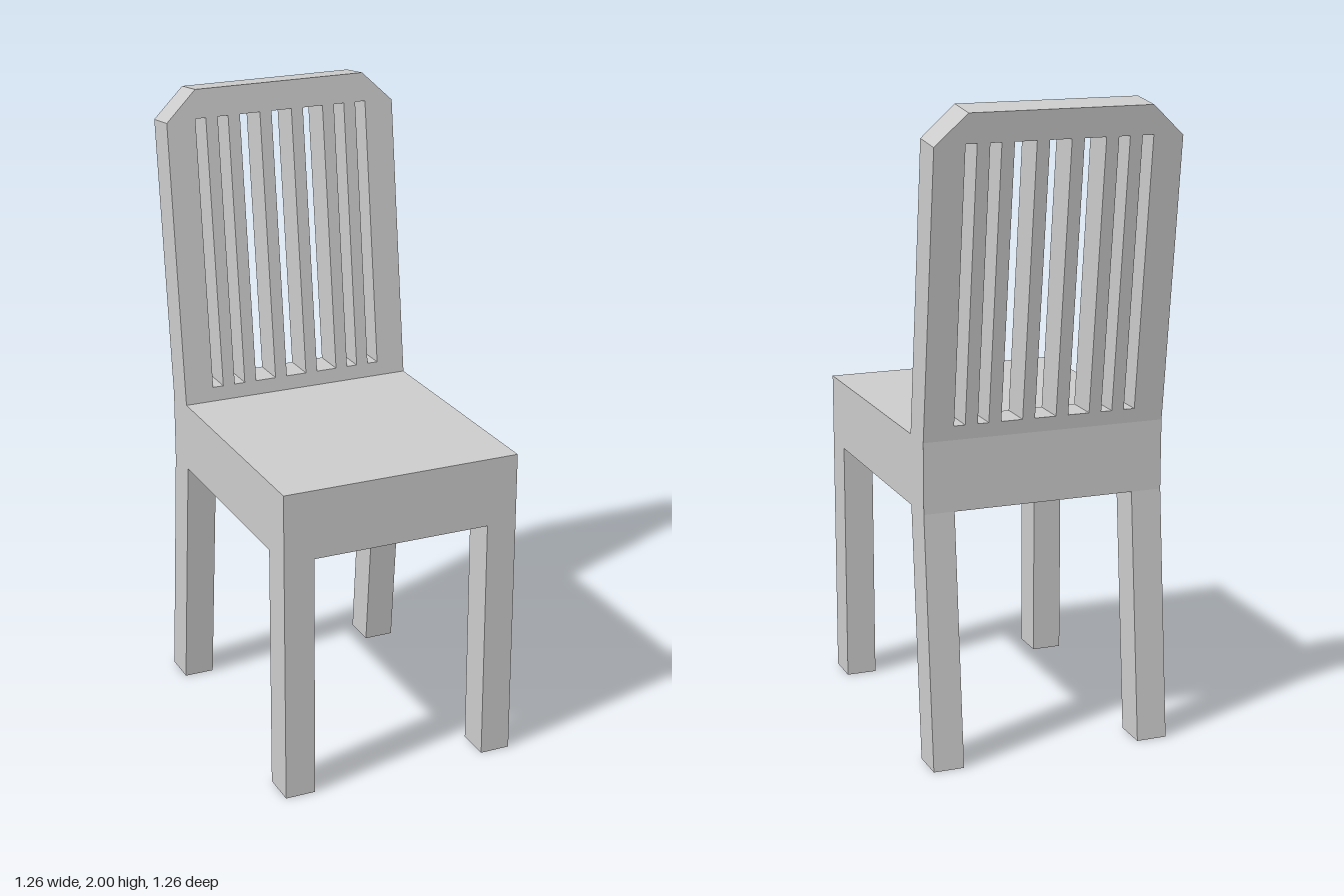
import * as THREE from 'three';

const HALF = 0.385;      // half width of the chair
const SEAT_LOW = 0.79, SEAT_TOP = 1.01;
const FRONT = 0.506, REAR = -0.4;
const BACK_FRONT = -0.286; // where the backrest meets the seat

const material = new THREE.MeshStandardMaterial({ color: 0xcccccc, flatShading: true });

function addMesh(group, name, geometry) {
  const mesh = new THREE.Mesh(geometry, material);
  mesh.name = name;
  group.add(mesh);
  return mesh;
}

// Leg whose foot can be shifted along z to splay it
function legGeometry(width, depth, footShift) {
  const g = new THREE.BoxGeometry(width, SEAT_LOW, depth).toNonIndexed();
  const p = g.attributes.position;
  for (let i = 0; i < p.count; i++) if (p.getY(i) < 0) p.setZ(i, p.getZ(i) + footShift);
  g.translate(0, SEAT_LOW / 2, 0);
  g.computeVertexNormals();
  return g;
}

// Chamfered panel with vertical slots, leaned backwards
function backrestGeometry() {
  const c = 0.1;
  const shape = new THREE.Shape([
    [-HALF, SEAT_TOP], [HALF, SEAT_TOP], [HALF, 1.905],
    [HALF - c, 2], [c - HALF, 2], [-HALF, 1.905],
  ].map(([x, y]) => new THREE.Vector2(x, y)));

  const narrow = 0.035, wide = 0.068, bar = 0.0395;
  let x = -(4 * narrow + 3 * wide + 6 * bar) / 2;
  for (const w of [narrow, narrow, wide, wide, wide, narrow, narrow]) {
    shape.holes.push(new THREE.Path([
      new THREE.Vector2(x, 1.055), new THREE.Vector2(x, 1.91),
      new THREE.Vector2(x + w, 1.91), new THREE.Vector2(x + w, 1.055),
    ]));
    x += w + bar;
  }

  const depth = BACK_FRONT - REAR;
  const g = new THREE.ExtrudeGeometry(shape, { depth, bevelEnabled: false });
  g.translate(0, 0, REAR);
  const p = g.attributes.position;
  for (let i = 0; i < p.count; i++) {
    const rise = p.getY(i) - SEAT_TOP, z = p.getZ(i);
    p.setY(i, p.getY(i) + 0.12 * (z - BACK_FRONT) * rise);
    p.setZ(i, z - 0.124 * rise);
  }
  g.computeVertexNormals();
  return g;
}

export function createModel() {
  const chair = new THREE.Group();
  chair.name = 'chair';

  // Seat block
  addMesh(chair, 'seat', new THREE.BoxGeometry(2 * HALF, SEAT_TOP - SEAT_LOW, FRONT - REAR))
    .position.set(0, (SEAT_TOP + SEAT_LOW) / 2, (FRONT + REAR) / 2);

  // Straight front legs and splayed back legs
  const legWidth = 0.097, legDepth = 0.113;
  for (const [side, label] of [[1, 'left'], [-1, 'right']]) {
    const x = side * (HALF - legWidth / 2);
    addMesh(chair, label + 'FrontLeg', legGeometry(legWidth, legDepth, 0))
      .position.set(x, 0, FRONT - legDepth / 2);
    addMesh(chair, label + 'BackLeg', legGeometry(legWidth, legDepth, -0.073))
      .position.set(x, 0, REAR + legDepth / 2);
  }

  addMesh(chair, 'backrest', backrestGeometry());

  // The chair stands diagonally
  chair.rotation.y = Math.PI / 4;
  const model = new THREE.Group();
  model.add(chair);
  return model;
}
